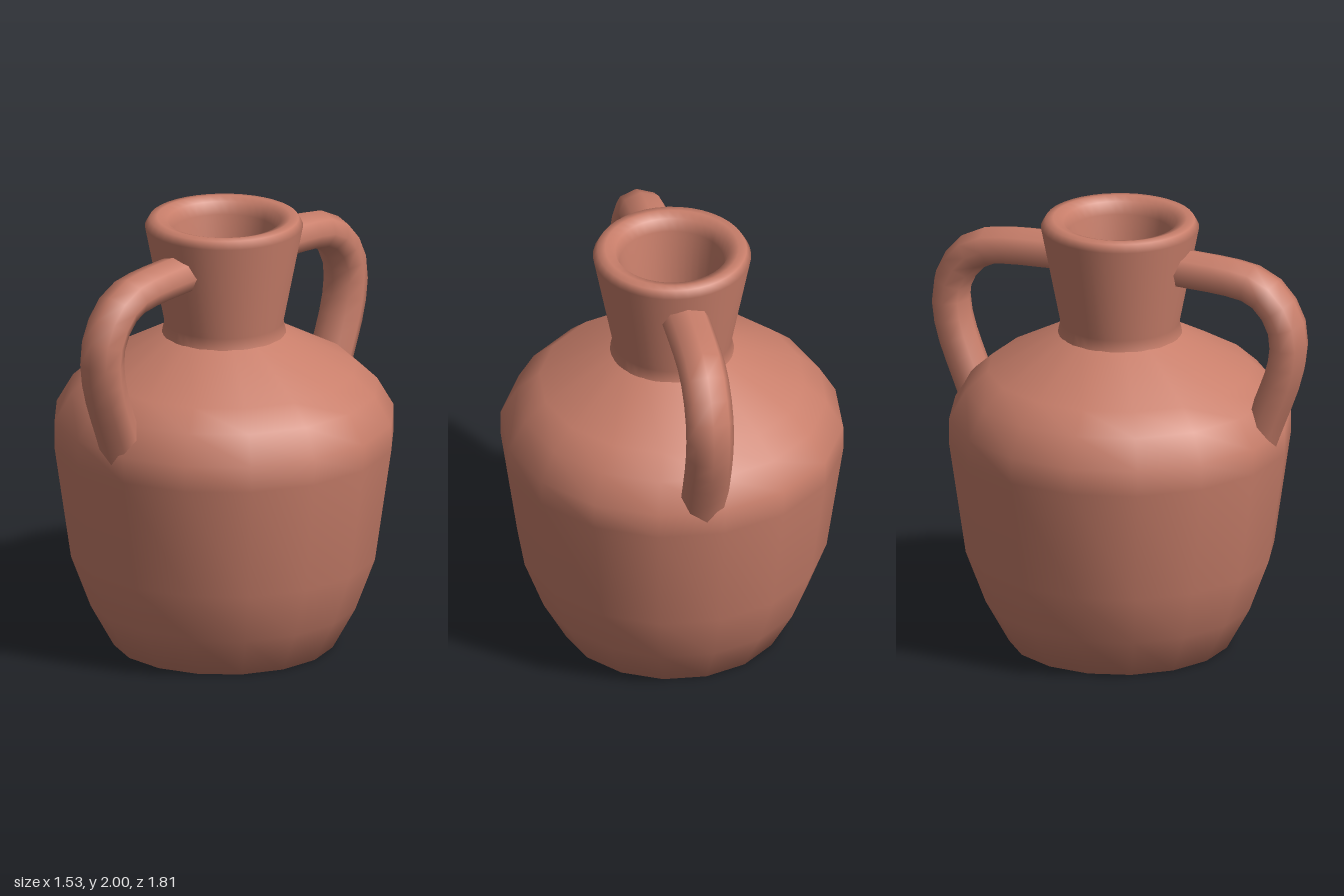
import * as THREE from 'three';

const clay = new THREE.MeshStandardMaterial({ color: 0xc87e6a });

// Smooth turned part from [radius, height] pairs
function turned(name, profile, sides, phase = 0) {
  const points = profile.map(([r, y]) => new THREE.Vector2(r, y));
  const mesh = new THREE.Mesh(new THREE.LatheGeometry(points, sides, phase), clay);
  mesh.name = name;
  return mesh;
}

// Arched handle in the yz plane, wider than it is thick
function handle(name, side) {
  const path = new THREE.CatmullRomCurve3([
    [0.28, 1.805], [0.565, 1.79], [0.68, 1.762], [0.765, 1.685],
    [0.813, 1.585], [0.82, 1.51], [0.8, 1.38], [0.7, 1.11], [0.66, 1.0],
  ].map(([z, y]) => new THREE.Vector3(0, y, z)));
  const geometry = new THREE.TubeGeometry(path, 14, 0.0875, 8);
  geometry.scale(1.25, 1, 1);
  const mesh = new THREE.Mesh(geometry, clay);
  mesh.name = name;
  if (side < 0) mesh.rotation.y = Math.PI;
  return mesh;
}

export function createModel() {
  const jar = new THREE.Group();
  jar.name = 'jar';

  // Hollow belly: base, outer wall, shoulder, then the inside back down to the floor
  jar.add(turned('body', [
    [0, 0], [0.5, 0], [0.605, 0.19], [0.695, 0.43], [0.77, 0.95], [0.77, 1.07],
    [0.695, 1.2], [0.595, 1.29], [0.28, 1.46], [0.2, 1.48],
    [0.2, 1.4], [0.5, 1.24], [0.66, 1.02], [0.6, 0.45], [0.42, 0.1], [0, 0.1],
  ], 16, THREE.MathUtils.degToRad(6)));

  // Flared neck with a rounded rim and a tapering throat
  jar.add(turned('neck', [
    [0.28, 1.44], [0.278, 1.46], [0.267, 1.51], [0.355, 1.96], [0.335, 1.995],
    [0.3, 2], [0.255, 1.985], [0.235, 1.93], [0.165, 1.51], [0.19, 1.42],
  ], 40));

  jar.add(handle('frontHandle', 1), handle('backHandle', -1));
  return jar;
}
